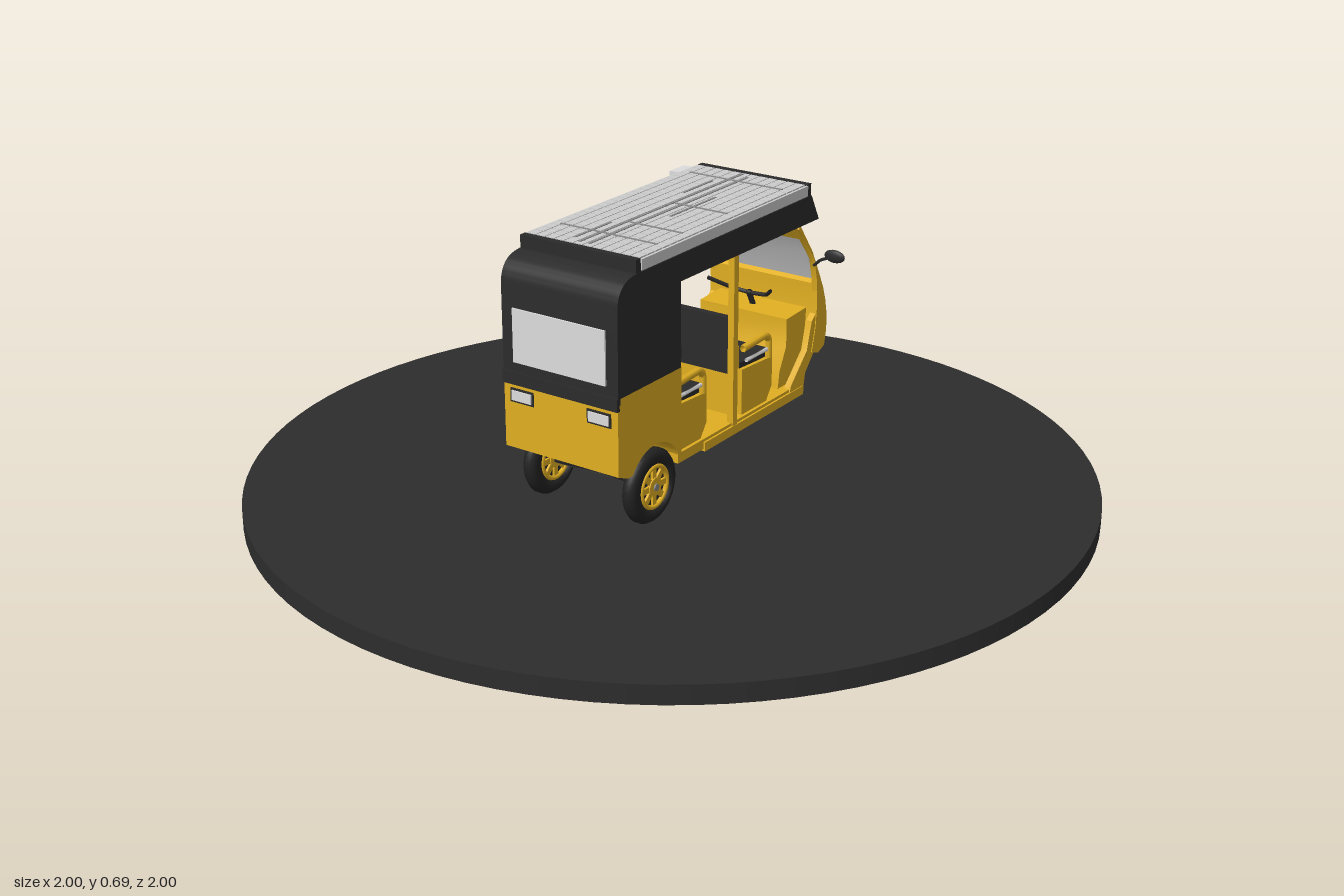
import * as THREE from 'three';
import { toCreasedNormals } from 'three/addons/utils/BufferGeometryUtils.js';

const mat = (name, color) => new THREE.MeshStandardMaterial({ name, color, side: THREE.DoubleSide });

export function createModel() {
  const model = new THREE.Group();
  model.name = 'autoRickshaw';
  const yellow = mat('yellowPaint', 0xe0ae22);
  const black = mat('blackCanvas', 0x2b2b2b);
  const rubber = mat('rubber', 0x222222);
  const light = mat('lightGlass', 0xdcdcdc);
  const panelGrey = mat('panelGrey', 0xcccccc);
  const metal = mat('metal', 0x8a8a8a);
  const base = mat('displayBase', 0x2d2d2d);

  const add = (name, geo, material, x = 0, y = 0, z = 0, parent = model) => {
    const m = new THREE.Mesh(geo, material);
    m.name = name;
    m.position.set(x, y, z);
    parent.add(m);
    return m;
  };
  // box given by its limits
  const box = (name, material, x0, x1, y0, y1, z0, z1) =>
    add(name, new THREE.BoxGeometry(x1 - x0, y1 - y0, z1 - z0), material, (x0 + x1) / 2, (y0 + y1) / 2, (z0 + z1) / 2);
  const toShape = pts => new THREE.Shape(pts.map(p => new THREE.Vector2(...p)));
  // side profile swept from z0 to z1
  const sweep = (name, material, shape, z0, z1) => {
    const s = Array.isArray(shape) ? toShape(shape) : shape;
    const g = new THREE.ExtrudeGeometry(s, { depth: z1 - z0, bevelEnabled: false, curveSegments: 16 });
    return add(name, toCreasedNormals(g, 0.6), material, 0, 0, z0);
  };
  const rod = (name, material, pts, r, n = 16) =>
    add(name, new THREE.TubeGeometry(new THREE.CatmullRomCurve3(pts.map(p => new THREE.Vector3(...p)), false, 'catmullrom', 0.1), n, r, 6), material);

  // round display base
  add('displayBase', new THREE.CylinderGeometry(1, 1, 0.045, 96), base, 0, 0.0225, 0);

  // rear lower body with a wheel arch cut through
  const tub = new THREE.Shape();
  tub.moveTo(-0.42, 0.4);
  tub.lineTo(-0.42, 0.22);
  tub.lineTo(-0.383, 0.205);
  tub.absarc(-0.285, 0.15, 0.1, Math.PI - 0.6, 0.45, true);
  tub.lineTo(-0.185, 0.19);
  tub.lineTo(-0.185, 0.4);
  sweep('rearBody', yellow, tub, -0.155, 0.155);

  // canvas hood: two sides and a bent sheet for back and top
  const hood = new THREE.Shape();
  hood.moveTo(-0.42, 0.4);
  hood.lineTo(-0.42, 0.6);
  hood.quadraticCurveTo(-0.418, 0.662, -0.345, 0.662);
  hood.lineTo(0.35, 0.662);
  hood.lineTo(0.385, 0.596);
  hood.lineTo(-0.188, 0.6);
  hood.lineTo(-0.188, 0.4);
  for (const s of [-1, 1]) sweep('hoodSide', black, hood, s * 0.151 - 0.005, s * 0.151 + 0.005);
  const sheet = new THREE.Shape();
  sheet.moveTo(-0.42, 0.385);
  sheet.lineTo(-0.42, 0.6);
  sheet.quadraticCurveTo(-0.418, 0.662, -0.345, 0.662);
  sheet.lineTo(0.35, 0.662);
  sheet.lineTo(0.385, 0.596);
  sheet.lineTo(0.375, 0.596);
  sheet.lineTo(0.34, 0.645);
  sheet.lineTo(-0.345, 0.645);
  sheet.quadraticCurveTo(-0.408, 0.645, -0.41, 0.6);
  sheet.lineTo(-0.41, 0.385);
  sweep('hoodBackAndRoof', black, sheet, -0.155, 0.155);
  box('hoodTrim', black, -0.424, -0.415, 0.372, 0.402, -0.156, 0.156);
  box('rearWindow', light, -0.424, -0.418, 0.425, 0.55, -0.125, 0.125);
  for (const s of [-1, 1]) {
    box('tailLight', light, -0.425, -0.418, 0.335, 0.358, s * 0.105 - 0.027, s * 0.105 + 0.027);
    box('tailLightFrame', black, -0.422, -0.418, 0.33, 0.363, s * 0.105 - 0.032, s * 0.105 + 0.032);
  }

  // solar panel: tray, end rails and a grid of cells
  box('panelTray', black, -0.335, 0.33, 0.662, 0.686, -0.153, 0.153);
  box('panelRailRear', black, -0.352, -0.335, 0.66, 0.692, -0.155, 0.155);
  box('panelRailFront', black, 0.33, 0.348, 0.66, 0.692, -0.155, 0.155);
  for (const s of [-1, 1]) box('panelEdge', panelGrey, -0.335, 0.33, 0.665, 0.69, s * 0.155 - 0.003, s * 0.155 + 0.003);
  const nx = 24, nz = 12, cw = 0.661 / nx, cd = 0.304 / nz;
  const cells = new THREE.InstancedMesh(new THREE.BoxGeometry(cw - 0.0025, 0.005, cd - 0.0025), panelGrey, nx * nz);
  cells.name = 'solarCells';
  const place = new THREE.Matrix4();
  for (let i = 0; i < nx; i++) for (let j = 0; j < nz; j++) {
    place.makeTranslation(-0.333 + (i + 0.5) * cw, 0.69, -0.152 + (j + 0.5) * cd);
    cells.setMatrixAt(i * nz + j, place);
  }
  model.add(cells);
  for (const [x0, x1, z] of [[-0.32, 0.32, -0.018], [-0.32, 0.3, 0.008], [-0.06, 0.12, 0.037], [-0.3, -0.17, -0.045], [0.11, 0.23, -0.045]])
    box('panelCable', metal, x0, x1, 0.69, 0.694, z - 0.003, z + 0.003);
  for (const x of [-0.24, -0.145, 0.03, 0.26]) box('panelCable', metal, x - 0.003, x + 0.003, 0.69, 0.694, x > 0.1 || x < -0.2 ? -0.13 : -0.01, 0.13);
  box('junctionBox', light, 0.25, 0.31, 0.665, 0.69, -0.182, -0.157);

  // floor, sills and door pillars
  box('floor', yellow, -0.19, 0.335, 0.168, 0.192, -0.15, 0.15);
  for (const s of [-1, 1]) {
    box('sill', yellow, -0.09, 0.335, 0.163, 0.185, s * 0.148 - 0.007, s * 0.148 + 0.007);
    box('doorPillar', yellow, 0.025, 0.043, 0.185, 0.61, s * 0.146 - 0.008, s * 0.146 + 0.008);
  }

  // rear and front benches
  const bench = (name, x, w, backX, backY) => {
    sweep(name + 'Base', yellow, [[x, 0.19], [x + w - 0.025, 0.19], [x + w, 0.225], [x + w, 0.298], [x, 0.305]], -0.142, 0.142);
    box(name + 'Cushion', black, x + 0.005, x + w - 0.002, 0.3, 0.318, -0.132, 0.132);
    box(name + 'Backrest', black, backX, backX + 0.018, backY, 0.437, -0.135, 0.135);
    for (const s of [-1, 1]) {
      const z = s * 0.14;
      rod(name + 'Armrest', yellow, [[x + 0.005, 0.355, z], [x + w - 0.03, 0.36, z], [x + w - 0.013, 0.345, z], [x + w - 0.013, 0.3, z]], 0.009);
      rod(name + 'ArmrestRail', light, [[x + 0.02, 0.322, z], [x + w - 0.02, 0.322, z]], 0.005, 1);
    }
  };
  bench('rearSeat', -0.188, 0.122, -0.175, 0.31);
  bench('frontSeat', 0.08, 0.13, 0.05, 0.3);
  box('frontSeatBack', yellow, 0.064, 0.085, 0.19, 0.36, -0.13, 0.13);

  // front cowl, windscreen frame and glass
  sweep('frontCowl', yellow, [[0.403, 0.44], [0.416, 0.415], [0.428, 0.38], [0.436, 0.34], [0.436, 0.3], [0.428, 0.262],
    [0.4, 0.25], [0.37, 0.26], [0.385, 0.32], [0.39, 0.38], [0.388, 0.43]], -0.155, 0.155);
  const frame = [[0.303, 0.6], [0.362, 0.52], [0.4, 0.448], [0.418, 0.41], [0.39, 0.4], [0.385, 0.445], [0.372, 0.498], [0.298, 0.59]];
  for (const s of [-1, 1]) sweep('windscreenPillar', yellow, frame, s * 0.1475 - 0.0075, s * 0.1475 + 0.0075);
  sweep('windscreenTopRail', yellow, [[0.303, 0.6], [0.328, 0.566], [0.318, 0.56], [0.29, 0.6]], -0.15, 0.15);
  sweep('windscreen', light, [[0.327, 0.567], [0.361, 0.52], [0.4, 0.446], [0.415, 0.415], [0.41, 0.415], [0.395, 0.446], [0.356, 0.52], [0.322, 0.567]], -0.14, 0.14);

  // leg shield and dashboard
  sweep('legShield', yellow, [[0.265, 0.19], [0.272, 0.235], [0.3, 0.29], [0.3, 0.36], [0.39, 0.365], [0.395, 0.3], [0.36, 0.245], [0.33, 0.19]], -0.125, 0.125);
  for (const s of [-1, 1])
    sweep('legShieldSide', yellow, [[0.27, 0.165], [0.335, 0.165], [0.345, 0.215], [0.395, 0.27], [0.395, 0.36], [0.37, 0.34], [0.35, 0.27], [0.28, 0.2]], s * 0.145 - 0.008, s * 0.145 + 0.008);

  // nose and front mudguard, narrowing towards the tip
  const guard = sweep('frontMudguard', yellow, [[0.4, 0.36], [0.43, 0.36], [0.446, 0.31], [0.47, 0.28], [0.496, 0.245], [0.45, 0.247], [0.4, 0.243]], -0.055, 0.055);
  const gp = guard.geometry.attributes.position;
  for (let i = 0; i < gp.count; i++) {
    const t = THREE.MathUtils.clamp((gp.getX(i) - 0.43) / 0.07, 0, 1);
    gp.setZ(i, 0.055 + (gp.getZ(i) - 0.055) * (1 - 0.6 * t));
  }
  guard.geometry.computeVertexNormals();

  // headlights and mirrors
  for (const s of [-1, 1]) {
    box('headlightFrame', black, 0.425, 0.439, 0.306, 0.358, s * 0.088 - 0.052, s * 0.088 + 0.052);
    box('headlight', light, 0.43, 0.442, 0.313, 0.343, s * 0.088 - 0.043, s * 0.088 + 0.043);
    rod('mirrorArm', black, [[0.378, 0.48, s * 0.15], [0.374, 0.498, s * 0.17], [0.37, 0.512, s * 0.2]], 0.004);
    add('mirror', new THREE.SphereGeometry(1, 16, 10), black, 0.372, 0.515, s * 0.21).scale.set(0.008, 0.016, 0.028);
  }

  // steering column and handlebar
  rod('steeringColumn', black, [[0.35, 0.35, 0], [0.325, 0.4, 0]], 0.008, 1);
  rod('handlebar', black, [[0.28, 0.43, -0.09], [0.325, 0.4, -0.05], [0.33, 0.395, 0], [0.325, 0.4, 0.05], [0.28, 0.43, 0.09]], 0.005);

  // wheels: tyre, rim with spokes and hub
  const wheel = (name, x, z, w) => {
    const g = new THREE.Group();
    g.name = name;
    g.position.set(x, 0.148, z);
    model.add(g);
    const h = w / 2;
    const prof = [[0.052, -h * 0.8], [0.07, -h], [0.081, -h * 0.75], [0.087, -h * 0.3], [0.087, h * 0.3], [0.081, h * 0.75], [0.07, h], [0.052, h * 0.8], [0.052, -h * 0.8]];
    add('tyre', new THREE.LatheGeometry(prof.map(p => new THREE.Vector2(...p)), 40), rubber, 0, 0, 0, g).rotation.x = Math.PI / 2;
    add('rimPlate', new THREE.CylinderGeometry(0.053, 0.053, w * 0.5, 32), black, 0, 0, 0, g).rotation.x = Math.PI / 2;
    for (const s of [-1, 1]) {
      add('rimRing', new THREE.TorusGeometry(0.048, 0.006, 8, 32), yellow, 0, 0, s * h * 0.7, g);
      add('hub', new THREE.CylinderGeometry(0.022, 0.022, 0.008, 20), yellow, 0, 0, s * h * 0.75, g).rotation.x = Math.PI / 2;
      add('hubCap', new THREE.CylinderGeometry(0.008, 0.008, 0.008, 12), metal, 0, 0, s * h * 0.95, g).rotation.x = Math.PI / 2;
      for (let i = 0; i < 8; i++) {
        const a = i * Math.PI / 4;
        add('spoke', new THREE.BoxGeometry(0.03, 0.014, 0.006), yellow, 0.034 * Math.cos(a), 0.034 * Math.sin(a), s * h * 0.65, g).rotation.z = a;
      }
    }
  };
  wheel('frontWheel', 0.423, 0, 0.046);
  for (const s of [-1, 1]) {
    wheel('rearWheel', -0.285, s * 0.138, 0.038);
    rod('frontFork', black, [[0.423, 0.148, s * 0.029], [0.395, 0.25, s * 0.029]], 0.006, 1);
  }
  rod('rearAxle', black, [[-0.285, 0.148, -0.13], [-0.285, 0.148, 0.13]], 0.012, 1);
  return model;
}
